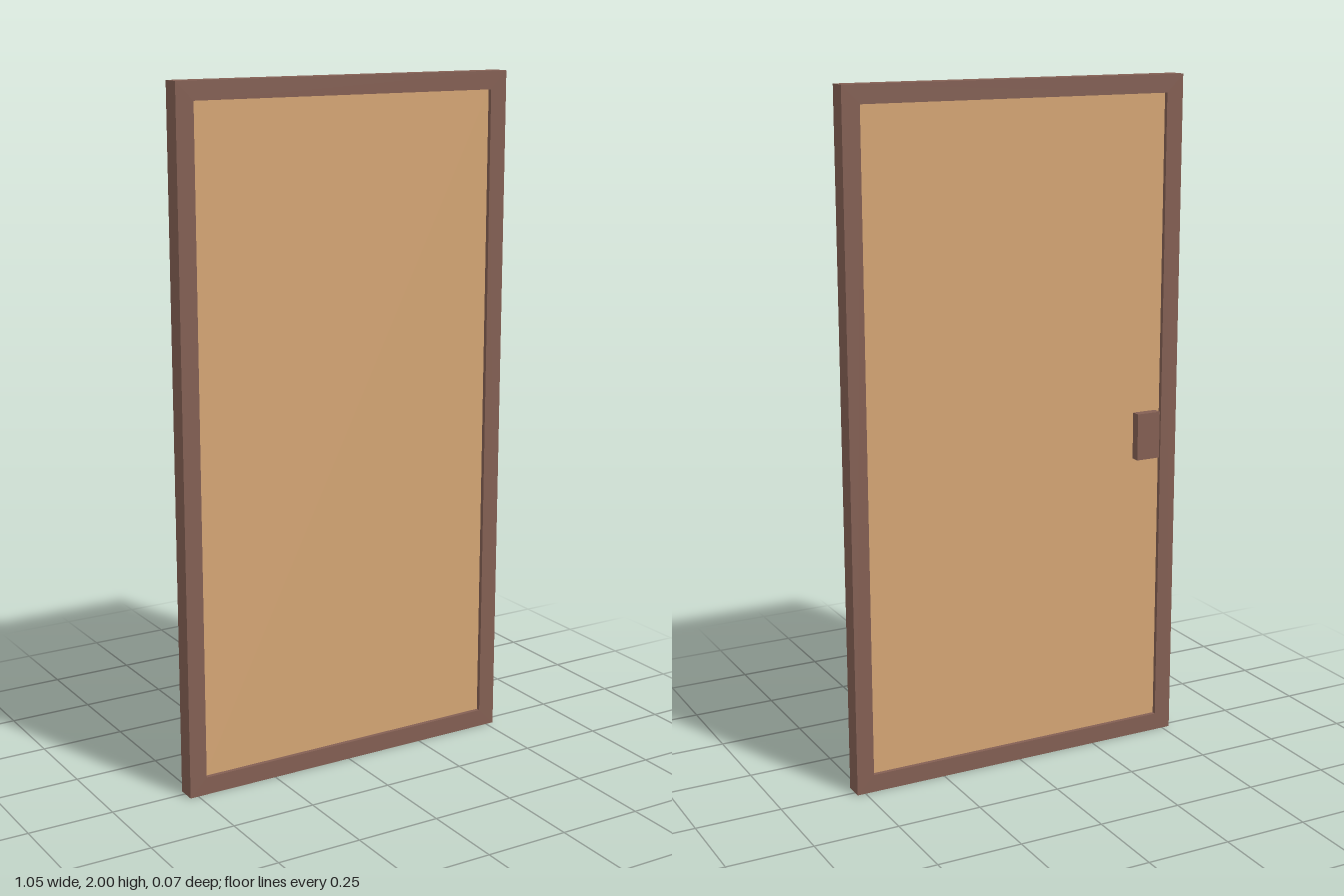
import * as THREE from 'three';

const WIDTH = 1.05, HEIGHT = 2, RAIL = 0.052;
const FRONT = 0.035, BACK = -0.02;

// Rectangular outline added to a shape or hole path
function rect(path, x0, y0, x1, y1) {
  path.moveTo(x0, y0);
  path.lineTo(x1, y0);
  path.lineTo(x1, y1);
  path.lineTo(x0, y1);
  path.closePath();
  return path;
}

export function createModel() {
  const model = new THREE.Group();
  model.name = 'door';
  const darkWood = new THREE.MeshStandardMaterial({ color: 0x835f53 });
  const lightWood = new THREE.MeshStandardMaterial({ color: 0xd4a574 });

  const add = (name, geometry, material, x, y, z) => {
    const mesh = new THREE.Mesh(geometry, material);
    mesh.name = name;
    mesh.position.set(x, y, z);
    model.add(mesh);
  };

  // Frame: one rectangle with the panel opening cut out
  const w = WIDTH / 2;
  const outline = rect(new THREE.Shape(), -w, 0, w, HEIGHT);
  outline.holes.push(rect(new THREE.Path(), -w + RAIL, RAIL, w - RAIL, HEIGHT - RAIL));
  const frame = new THREE.ExtrudeGeometry(outline, { depth: FRONT - BACK, bevelEnabled: false });
  add('frame', frame, darkWood, 0, 0, BACK);

  // Panel, recessed on both faces
  const panel = new THREE.BoxGeometry(WIDTH - 2 * RAIL, HEIGHT - 2 * RAIL, 0.03);
  add('panel', panel, lightWood, 0, HEIGHT / 2, (FRONT + BACK) / 2);

  // Handle block on the back of the panel
  add('handle', new THREE.BoxGeometry(0.075, 0.14, 0.03), darkWood, -0.422, 0.95, -0.02);

  return model;
}
